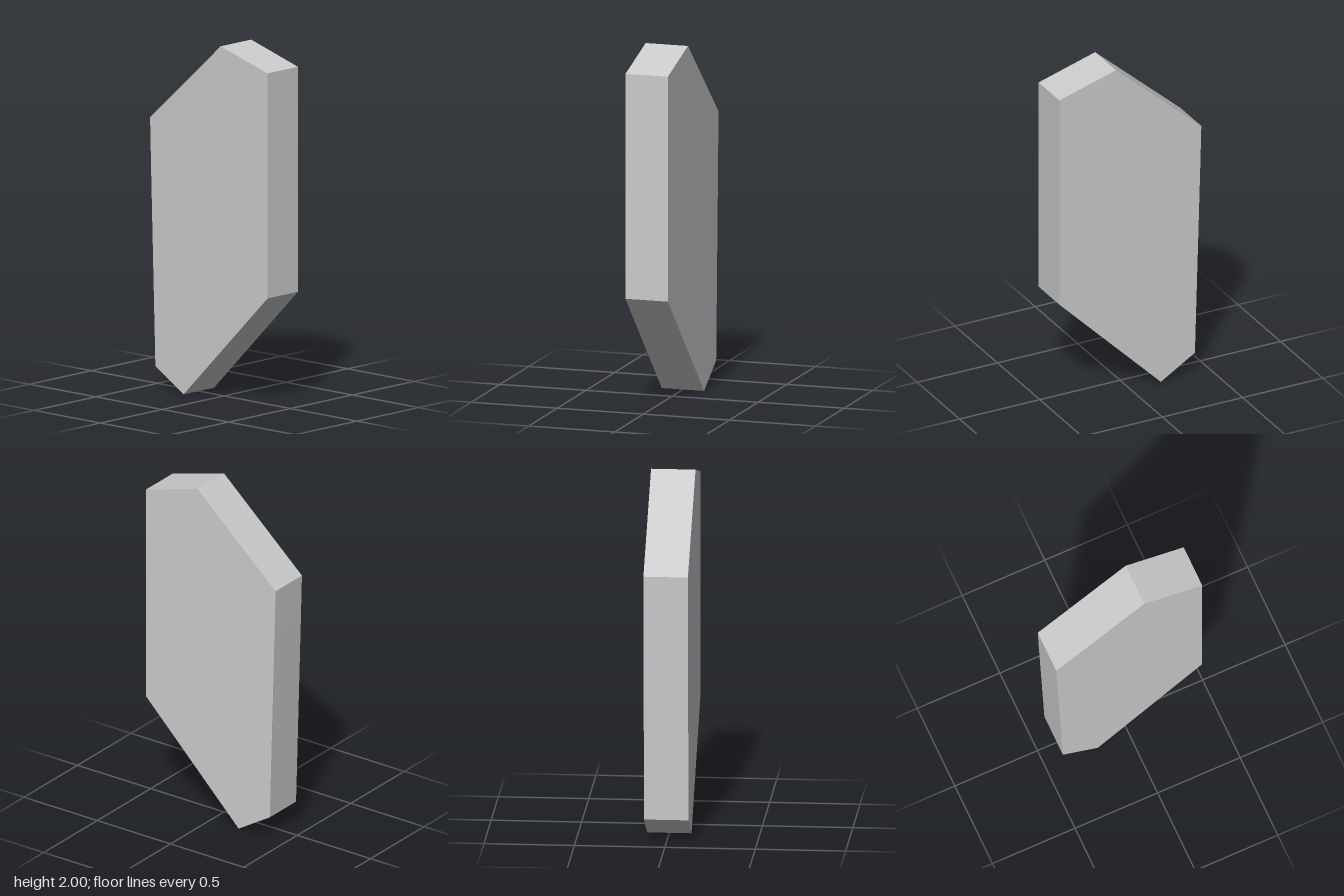
import * as THREE from 'three';

export function createModel() {
  const group = new THREE.Group();
  const width = 0.246;

  // Side outline of the slab as (z, y) corners
  const outline = [
    [0.442, 0.63], [0.442, 1.897], [0.09, 2], [-0.442, 1.526],
    [-0.435, 1.26], [-0.402, 0.13], [-0.19, 0],
  ].map(([z, y]) => new THREE.Vector2(z, y));

  // Extrude across the width, then turn so the outline lies in the z-y plane
  const geometry = new THREE.ExtrudeGeometry(new THREE.Shape(outline), {
    depth: width, bevelEnabled: false,
  });
  geometry.translate(0, 0, -width / 2);
  geometry.rotateY(-Math.PI / 2);

  const slab = new THREE.Mesh(
    geometry,
    new THREE.MeshStandardMaterial({ color: 0xcccccc, flatShading: true }),
  );
  slab.name = 'slab';
  group.add(slab);
  return group;
}
